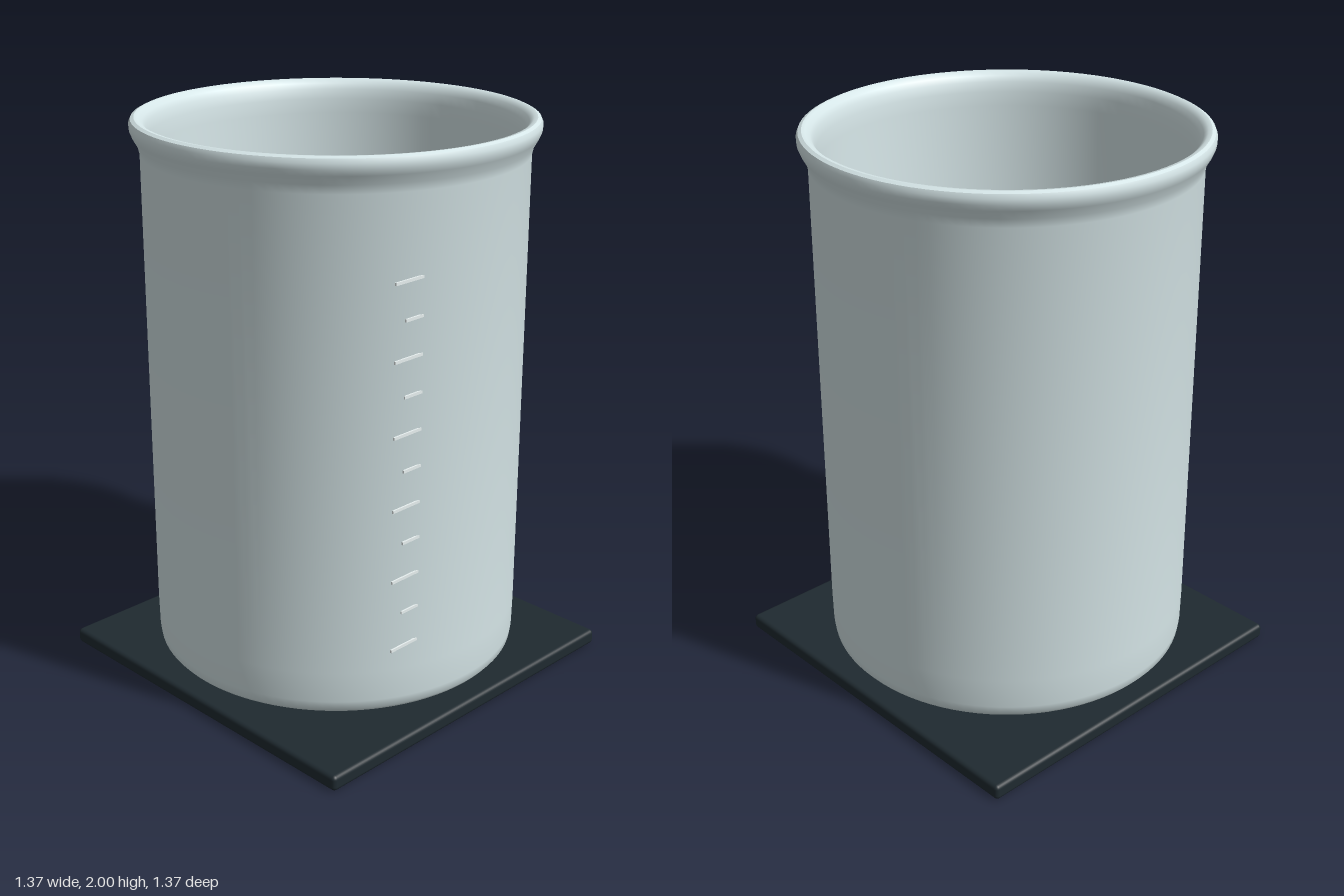
import * as THREE from 'three';
import { toCreasedNormals } from 'three/addons/utils/BufferGeometryUtils.js';
import { RoundedBoxGeometry } from 'three/addons/geometries/RoundedBoxGeometry.js';

export function createModel() {
  const model = new THREE.Group();
  const glass = new THREE.MeshStandardMaterial({ color: 0xd6e6e8, side: THREE.DoubleSide });
  const dark = new THREE.MeshStandardMaterial({ color: 0x1f2a30 });
  const pale = new THREE.MeshStandardMaterial({ color: 0xe8f0f0 });

  function add(name, geometry, material, parent = model) {
    const mesh = new THREE.Mesh(geometry, material);
    mesh.name = name;
    parent.add(mesh);
    return mesh;
  }

  // Thin square plate with softened edges
  add('basePlate', new RoundedBoxGeometry(1.37, 0.055, 1.37, 3, 0.015), dark).position.y = 0.0275;

  // Beaker: outside of the bottom, wall, rolled lip, then back down the inside
  const profile = [
    [0, 0.07], [0.54, 0.07], [0.6, 0.083], [0.635, 0.096], [0.647, 0.11], [0.651, 0.14],
    [0.653, 0.25], [0.653, 1.88], [0.66, 1.91], [0.677, 1.94], [0.685, 1.96], [0.686, 1.98],
    [0.68, 1.994], [0.668, 2], [0.655, 1.998], [0.64, 1.985], [0.63, 1.965], [0.624, 1.93],
    [0.621, 1.88], [0.621, 0.19], [0.613, 0.15], [0.595, 0.13], [0.57, 0.12], [0, 0.12],
  ].map(([r, y]) => new THREE.Vector2(r, y));
  add('beaker', toCreasedNormals(new THREE.LatheGeometry(profile, 96), 0.6), glass);

  // Graduation marks, alternately long and short, ending in the wall
  const marks = new THREE.Group();
  marks.name = 'graduationMarks';
  model.add(marks);
  const rightEnd = -0.22;
  for (let i = 0; i < 11; i++) {
    const width = i % 2 ? 0.083 : 0.13;
    const mark = add(i % 2 ? 'shortMark' : 'longMark', new THREE.BoxGeometry(width, 0.01, 0.006), pale, marks);
    mark.position.set(rightEnd - width / 2, 0.35 + i * 0.126, 0.61);
  }
  return model;
}
